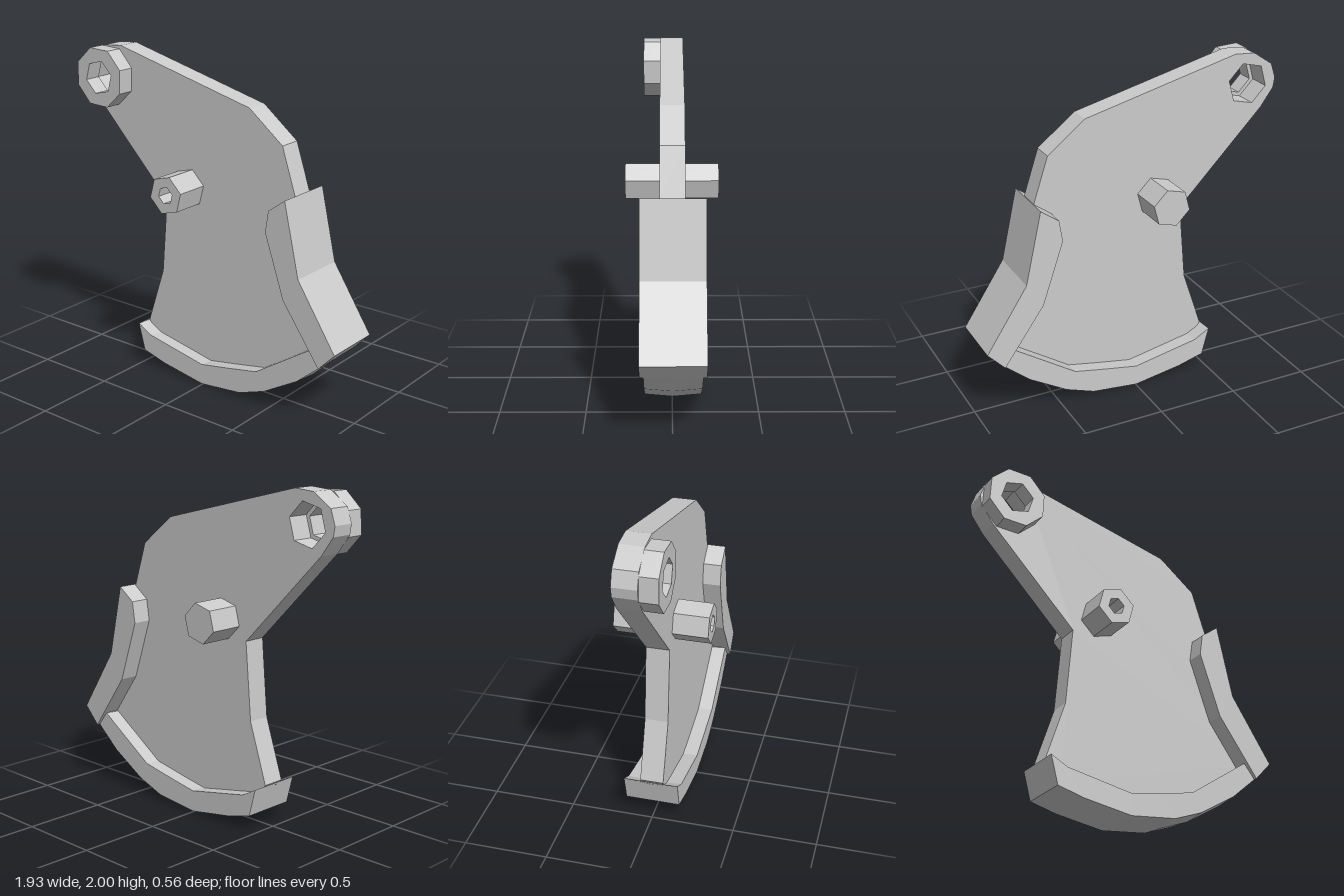
import * as THREE from 'three';

const material = new THREE.MeshStandardMaterial({ color: 0xcccccc, flatShading: true });
const points = (list) => list.map(([x, y]) => new THREE.Vector2(x, y));

// Regular polygon around (cx, cy), first corner at the given angle in degrees
function ngon(cx, cy, r, sides, degrees) {
  return Array.from({ length: sides }, (_, i) => {
    const a = THREE.MathUtils.degToRad(degrees) + (i / sides) * Math.PI * 2;
    return [cx + r * Math.cos(a), cy + r * Math.sin(a)];
  });
}

// Flat slab between two z values, with optional holes
function slab(name, outline, z0, z1, holes = []) {
  const shape = new THREE.Shape(points(outline));
  holes.forEach((h) => shape.holes.push(new THREE.Path(points(h))));
  const geometry = new THREE.ExtrudeGeometry(shape, { depth: z1 - z0, bevelEnabled: false });
  geometry.translate(0, 0, z0);
  const mesh = new THREE.Mesh(geometry, material);
  mesh.name = name;
  return mesh;
}

export function createModel() {
  const model = new THREE.Group();
  model.name = 'pivotingSectorLever';
  const eye = [-0.78, 1.81];
  const pivot = [-0.17, 1.21];

  // Main plate with a pin eye in the upper arm
  model.add(slab('plate', [
    [-0.69, 2.0], [-0.82, 1.99], [-0.94, 1.91], [-0.97, 1.82], [-0.96, 1.76], [-0.88, 1.65],
    [-0.34, 1.1], [-0.38, 0.63], [-0.5, 0.27], [-0.4, 0.15], [0, 0.07], [0.45, 0.15], [0.82, 0.42],
    [0.9, 0.5], [0.68, 0.87], [0.6, 1.31], [0.51, 1.58], [0.28, 1.76],
  ], -0.07, 0.07, [ngon(...eye, 0.13, 6, 14)]));

  // Raised collar round the eye
  model.add(slab('eyeCollar', ngon(...eye, 0.186, 8, 20), 0.07, 0.175, [ngon(...eye, 0.105, 6, 14)]));

  // Hexagonal pivot pin, with a blind socket in the front end
  const pin = new THREE.Group();
  pin.name = 'pivotPin';
  const hexagon = ngon(...pivot, 0.12, 6, 15);
  pin.add(slab('pinBody', hexagon, -0.28, 0.1));
  pin.add(slab('pinSocket', hexagon, 0.1, 0.28, [ngon(...pivot, 0.053, 6, 15)]));
  model.add(pin);

  // Thick flange along the side
  model.add(slab('sideFlange', [
    [0.61, 1.31], [0.5, 1.23], [0.48, 1.1], [0.61, 0.72], [0.86, 0.37], [0.965, 0.48], [0.71, 0.87],
  ], -0.188, 0.182));

  // Curved bottom rim: cross-sections (inner x, y, outer x, y), crowned in the middle
  const sections = [
    [-0.51, 0.27, -0.465, 0.1], [-0.41, 0.215, -0.3, 0.055], [0, 0.135, 0, 0.005],
    [0.2, 0.17, 0.29, 0.035], [0.41, 0.21, 0.47, 0.1], [0.6, 0.335, 0.7, 0.235],
    [0.79, 0.46, 0.86, 0.37],
  ];
  const ring = ([ix, iy, ox, oy], i) => {
    const ends = i === 0 || i === sections.length - 1;
    const crown = ends ? 0 : Math.min(0.012, oy);
    return [
      [ix, iy, 0.16], [ix, iy - 0.012, 0], [ix, iy, -0.168],
      [ox, oy, -0.168], [ox + crown * 0.6, oy - crown, 0], [ox, oy, 0.16],
    ];
  };
  const rings = sections.map(ring);
  const position = rings.flat(2);
  const index = [];
  const n = 6;
  for (let s = 0; s < rings.length - 1; s++) {
    for (let k = 0; k < n; k++) {
      const a = s * n + k, b = s * n + ((k + 1) % n);
      index.push(a, a + n, b, b, a + n, b + n);
    }
  }
  const last = (rings.length - 1) * n;
  for (let k = 1; k < n - 1; k++) {
    index.push(0, k, k + 1, last, last + k + 1, last + k);
  }
  const geometry = new THREE.BufferGeometry();
  geometry.setAttribute('position', new THREE.Float32BufferAttribute(position, 3));
  geometry.setIndex(index);
  const flat = geometry.toNonIndexed();
  flat.computeVertexNormals();
  const rim = new THREE.Mesh(flat, material);
  rim.name = 'bottomRim';
  model.add(rim);

  return model;
}
